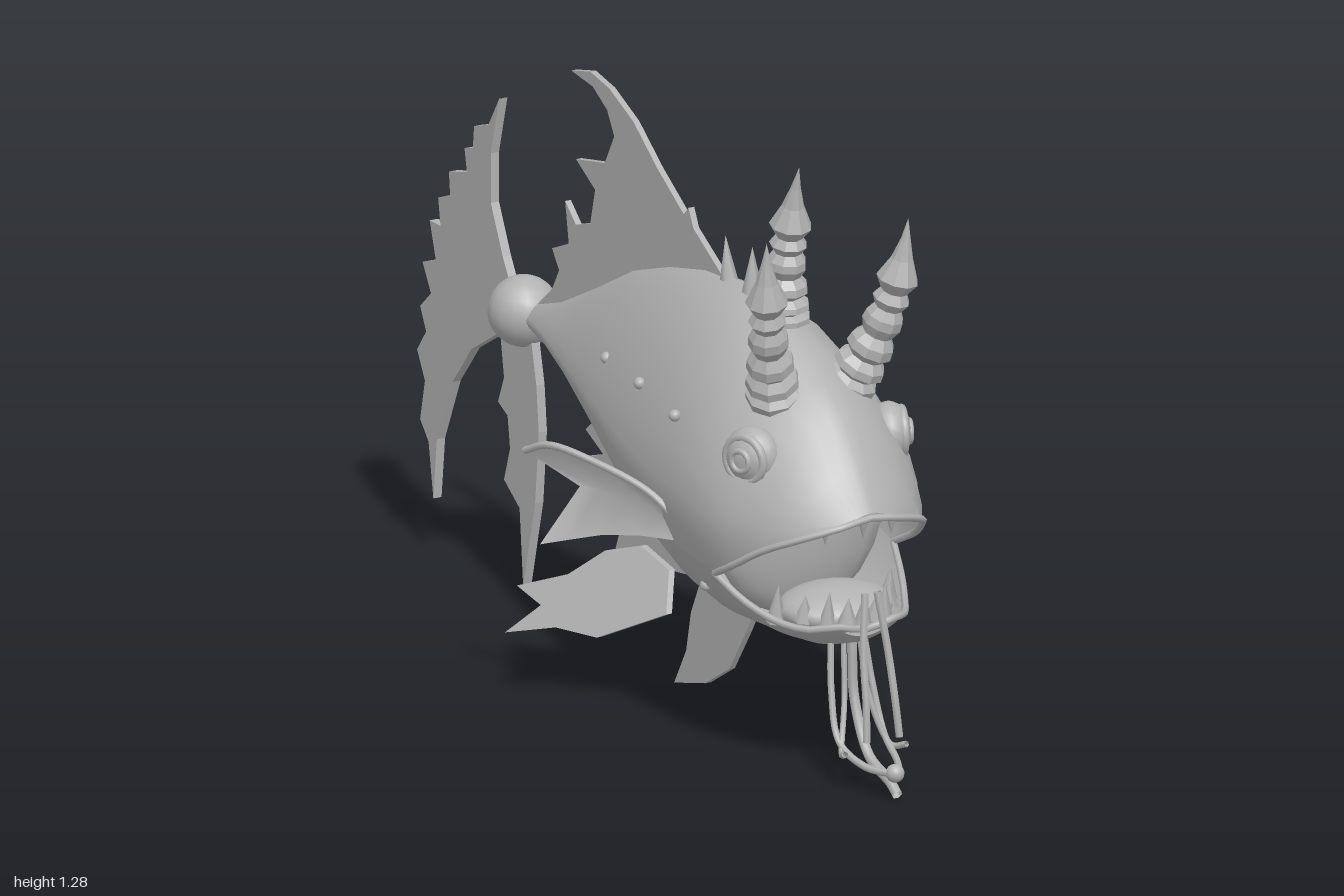
import * as THREE from 'three';

const skin = new THREE.MeshStandardMaterial({ color: 0xb2b2b2, side: THREE.DoubleSide });
skin.name = 'grey skin';
const V = (x, y, z) => new THREE.Vector3(x, y, z);

function part(name, geometry, parent) {
  const mesh = new THREE.Mesh(geometry, skin);
  mesh.name = name;
  parent.add(mesh);
  return mesh;
}

// Smooth surface through rows of points
function sheet(rings) {
  const n = rings[0].length, index = [];
  for (let i = 0; i < rings.length - 1; i++) for (let j = 0; j < n - 1; j++) {
    const a = i * n + j, b = a + n;
    index.push(a, b, a + 1, b, b + 1, a + 1);
  }
  const g = new THREE.BufferGeometry().setFromPoints(rings.flat());
  g.setIndex(index);
  g.computeVertexNormals();
  return g;
}

// One arc of a body section, cut off at the lip height.
// Flanks get sharper toward the tail; the belly is rounder than the back.
function arc([z, top, mid, bot, w, lip], upper) {
  const bend = (v, p) => Math.sign(v) * Math.abs(v) ** p;
  const power = s => (s > 0 ? THREE.MathUtils.clamp(1.4 - z * 0.35, 1.2, 1.45)
    : THREE.MathUtils.clamp(1.4 - z * 0.7, 1.05, 1.45));
  const c = (lip - mid) / (lip > mid ? top - mid : mid - bot);
  const edge = Math.acos(THREE.MathUtils.clamp(bend(c, 1 / power(c)), -1, 1));
  return Array.from({ length: 17 }, (_, k) => {
    const t = k / 8 - 1;
    const a = upper ? t * edge : Math.PI + t * (Math.PI - edge);
    const q = power(Math.cos(a)), co = bend(Math.cos(a), q);
    return V(w * bend(Math.sin(a), q), mid + (co > 0 ? top - mid : mid - bot) * co, z);
  });
}

// Thin fin from a side outline of [z, y] points; lean gives x
function fin(name, outline, parent, depth = 0.014, lean = () => 0) {
  const shape = new THREE.Shape(outline.map(([z, y]) => new THREE.Vector2(z, y)));
  const g = new THREE.ExtrudeGeometry(shape, { depth, bevelEnabled: false });
  const pos = g.attributes.position;
  for (let i = 0; i < pos.count; i++) {
    const z = pos.getX(i), y = pos.getY(i);
    pos.setXYZ(i, lean(z, y) + depth / 2 - pos.getZ(i), y, z);
  }
  g.computeVertexNormals();
  return part(name, g, parent);
}

// Ringed, faceted horn: a lathe bent along a curve
function horn(name, points, parent) {
  const profile = [[0.06, 0], [0.06, 0.04], [0.042, 0.07], [0.058, 0.1], [0.055, 0.14], [0.038, 0.18],
    [0.052, 0.22], [0.049, 0.27], [0.033, 0.32], [0.044, 0.38], [0.042, 0.43], [0.03, 0.48],
    [0.041, 0.53], [0.029, 0.58], [0.046, 0.65], [0.024, 0.77], [0.011, 0.88], [0, 1]];
  const curve = new THREE.QuadraticBezierCurve3(...points);
  const g = new THREE.LatheGeometry(profile.map(p => new THREE.Vector2(...p)), 9).toNonIndexed();
  const pos = g.attributes.position;
  for (let i = 0; i < pos.count; i++) {
    const t = pos.getY(i), c = curve.getPoint(t);
    const q = new THREE.Quaternion().setFromUnitVectors(V(0, 1, 0), curve.getTangent(t));
    const r = V(pos.getX(i), 0, pos.getZ(i)).applyQuaternion(q).add(c);
    pos.setXYZ(i, r.x, r.y, r.z);
  }
  g.computeVertexNormals();
  part(name, g, parent);
}

function ball(name, r, at, parent, scale = [1, 1, 1]) {
  const m = part(name, new THREE.SphereGeometry(r, 16, 12), parent);
  m.position.set(...at);
  m.scale.set(...scale);
}

function cone(name, r, h, at, parent, rx = 0) {
  const m = part(name, new THREE.ConeGeometry(r, h, 6), parent);
  m.position.set(...at);
  m.rotation.x = rx;
}

const tube = (name, pts, r, parent) =>
  part(name, new THREE.TubeGeometry(new THREE.CatmullRomCurve3(pts), 24, r, 6), parent);

export function createModel() {
  const model = new THREE.Group();
  model.name = 'hornedFish';

  // Body sections: z, top, middle, bottom, half width, lip height
  const trunk = [
    [-0.54, 0.67, 0.645, 0.615, 0.025, 0.645], [-0.4, 0.715, 0.645, 0.59, 0.058, 0.64],
    [-0.25, 0.79, 0.645, 0.535, 0.104, 0.62], [-0.1, 0.87, 0.635, 0.445, 0.147, 0.59],
    [0.05, 0.92, 0.615, 0.365, 0.185, 0.56], [0.2, 0.955, 0.59, 0.3, 0.218, 0.52],
    [0.35, 0.965, 0.58, 0.265, 0.24, 0.48], [0.48, 0.95, 0.575, 0.26, 0.25, 0.45],
    [0.6, 0.89, 0.565, 0.27, 0.248, 0.43]];
  const snout = [[0.68, 0.84, 0.55, 0.27, 0.232, 0.47], [0.76, 0.785, 0.54, 0.27, 0.195, 0.52],
    [0.83, 0.695, 0.525, 0.27, 0.155, 0.555], [0.88, 0.605, 0.5, 0.27, 0.14, 0.585]];
  const jaw = [[0.68, 0.8, 0.5, 0.275, 0.225, 0.385], [0.76, 0.7, 0.45, 0.285, 0.19, 0.355],
    [0.82, 0.6, 0.42, 0.305, 0.15, 0.35], [0.86, 0.5, 0.4, 0.33, 0.09, 0.36]];
  const upper = [...trunk, ...snout].map(r => arc(r, true));
  const lower = [...trunk, ...jaw].map(r => arc(r, false));
  part('upperBody', sheet(upper), model);
  part('lowerBody', sheet(lower), model);

  // Lips, throat, tongue and teeth
  for (const [name, rings] of [['upperLip', upper], ['lowerLip', lower]]) {
    const mouth = rings.slice(8), front = rings.at(-1);
    const centre = front[8].clone().setY((front[0].y + front[8].y) / 2);
    tube(name, [...mouth.map(r => r[0]), centre, ...mouth.map(r => r[16]).reverse()], 0.008, model);
  }
  ball('throat', 1, [0, 0.56, 0.57], model, [0.215, 0.26, 0.08]);
  ball('tongue', 1, [0, 0.36, 0.73], model, [0.13, 0.05, 0.11]);
  for (const x of [-0.08, -0.01, 0.08]) {
    cone('upperTooth', 0.012, 0.045, [x, 0.57 - Math.abs(x) * 0.2, 0.865 - x * x * 6], model, Math.PI);
  }
  for (let i = -4; i <= 4; i++) {
    cone('lowerTooth', 0.022, 0.06 + (i % 2 ? 0 : 0.025), [i * 0.034, 0.385, 0.85 - i * i * 0.008], model, 0.15);
  }

  // Horns and back spikes
  horn('centreHorn', [V(0, 0.93, 0.51), V(0, 1.08, 0.52), V(0, 1.285, 0.58)], model);
  for (const s of [-1, 1]) {
    horn('sideHorn', [V(s * 0.09, 0.81, 0.63), V(s * 0.165, 0.99, 0.72), V(s * 0.172, 1.19, 0.74)], model);
  }
  cone('backSpike', 0.025, 0.11, [0, 1, 0.385], model);
  cone('backSpike', 0.02, 0.1, [0, 1, 0.28], model, -0.15);

  // Fins on the centre line
  fin('dorsalFin', [[0.27, 0.96], [0.15, 1.03], [0.13, 1.07], [0.11, 1.05], [0, 1.12], [-0.1, 1.195],
    [-0.2, 1.24], [-0.28, 1.255], [-0.36, 1.235], [-0.27, 1.225], [-0.21, 1.19], [-0.18, 1.14],
    [-0.22, 1.07], [-0.34, 1.045], [-0.26, 1], [-0.28, 0.92], [-0.34, 0.9], [-0.385, 0.94],
    [-0.37, 0.85], [-0.44, 0.82], [-0.41, 0.78], [-0.44, 0.73], [-0.5, 0.68], [-0.48, 0.64],
    [-0.25, 0.72], [0.2, 0.9]], model);
  fin('analFin', [[0.25, 0.35], [0.2, 0.27], [0, 0.24], [-0.1, 0.24], [-0.2, 0.17], [-0.155, 0.28],
    [-0.235, 0.29], [-0.21, 0.345], [-0.3, 0.4], [-0.225, 0.425], [-0.3, 0.46], [-0.25, 0.5],
    [-0.32, 0.54], [-0.29, 0.57], [-0.48, 0.61], [-0.48, 0.64], [-0.2, 0.6]], model);
  fin('bellyFin', [[0.42, 0.28], [0.37, 0.2], [0.3, 0.1], [0.2, 0.04], [0.07, 0.005], [0.12, 0.09],
    [0.14, 0.18], [0.2, 0.3]], model);

  // Tail
  ball('tailJoint', 0.077, [0, 0.645, -0.57], model);
  fin('tailFin', [[-0.58, 0.645], [-0.64, 0.745], [-0.69, 0.85], [-0.69, 0.96], [-0.655, 1.09], [-0.7, 1.02],
    [-0.76, 1], [-0.765, 0.95], [-0.8, 0.94], [-0.79, 0.89], [-0.865, 0.87], [-0.86, 0.82], [-0.91, 0.8],
    [-0.9, 0.74], [-0.945, 0.74], [-0.92, 0.66], [-0.975, 0.64], [-0.94, 0.58], [-0.985, 0.54],
    [-0.96, 0.49], [-0.998, 0.44], [-0.965, 0.38], [-0.985, 0.29], [-0.95, 0.25], [-0.93, 0.13],
    [-0.915, 0.265], [-0.85, 0.41], [-0.77, 0.505], [-0.66, 0.57]], model, 0.02);
  fin('lowerTailFin', [[-0.53, 0.63], [-0.5, 0.5], [-0.49, 0.4], [-0.505, 0.24], [-0.555, 0.04], [-0.57, 0.21],
    [-0.635, 0.255], [-0.61, 0.33], [-0.62, 0.4], [-0.66, 0.42], [-0.635, 0.48], [-0.65, 0.57], [-0.6, 0.64]], model, 0.02);

  // Paired parts, built on the left and mirrored
  const side = new THREE.Group();
  side.name = 'leftSide';
  // Cupped pectoral fin: upper edge, middle fold, lower edge
  part('pectoralFin', sheet([
    [V(0.22, 0.5, 0.47), V(0.26, 0.56, 0.4), V(0.325, 0.605, 0.3), V(0.385, 0.628, 0.2), V(0.405, 0.6, 0.13)],
    [V(0.2, 0.48, 0.46), V(0.24, 0.51, 0.4), V(0.275, 0.525, 0.34), V(0.31, 0.54, 0.28), V(0.335, 0.54, 0.24)],
    [V(0.22, 0.46, 0.45), V(0.27, 0.46, 0.38), V(0.32, 0.45, 0.31), V(0.37, 0.43, 0.25), V(0.42, 0.42, 0.22)]]), side);
  tube('pectoralRim', [V(0.22, 0.5, 0.47), V(0.26, 0.56, 0.4), V(0.325, 0.605, 0.3), V(0.385, 0.628, 0.2), V(0.405, 0.6, 0.13)], 0.008, side);
  fin('pelvicFin', [[0.26, 0.23], [0.19, 0.3], [0.07, 0.32], [-0.02, 0.29], [-0.08, 0.23], [-0.2, 0.18],
    [-0.1, 0.165], [-0.15, 0.1], [-0.02, 0.14], [0.11, 0.15]], side, 0.014,
    (z, y) => 0.265 - (y - 0.1) * 0.8 - z * 0.12);
  const eye = new THREE.Group();
  eye.name = 'eye';
  eye.position.set(0.165, 0.7, 0.67);
  eye.rotation.y = Math.PI / 2 - 0.4;
  ball('eyeball', 0.065, [0, 0, 0], eye, [1, 1, 0.75]);
  part('eyelid', new THREE.TorusGeometry(0.048, 0.01, 8, 20), eye).position.z = 0.028;
  part('iris', new THREE.TorusGeometry(0.022, 0.007, 8, 16), eye).position.z = 0.044;
  side.add(eye);
  for (const [x, y, z] of [[0.215, 0.73, 0.43], [0.184, 0.74, 0.23], [0.142, 0.73, 0.02], [0.18, 0.37, 0.5]]) {
    ball('wart', 0.013, [x, y, z], side);
  }
  // Whiskers hanging from the chin
  tube('whisker', [V(0.04, 0.31, 0.78), V(0.05, 0.2, 0.8), V(0.055, 0.1, 0.84), V(0.04, 0.065, 0.92), V(0.01, 0.06, 0.98)], 0.008, side);
  tube('whisker', [V(0.02, 0.3, 0.8), V(0.03, 0.18, 0.82), V(0.06, 0.08, 0.86), V(0.075, 0.09, 0.9)], 0.007, side);
  tube('whisker', [V(0.015, 0.43, 0.88), V(0.03, 0.3, 0.9), V(0.035, 0.2, 0.92), V(0.04, 0.12, 0.93)], 0.009, side);
  const mirror = side.clone();
  mirror.name = 'rightSide';
  mirror.scale.x = -1;
  model.add(side, mirror);
  tube('middleWhisker', [V(0, 0.3, 0.8), V(0, 0.18, 0.81), V(0, 0.07, 0.87), V(0, 0.035, 0.96), V(0, 0.015, 0.99)], 0.012, model);
  ball('lure', 0.02, [0, 0.06, 0.98], model);
  return model;
}
